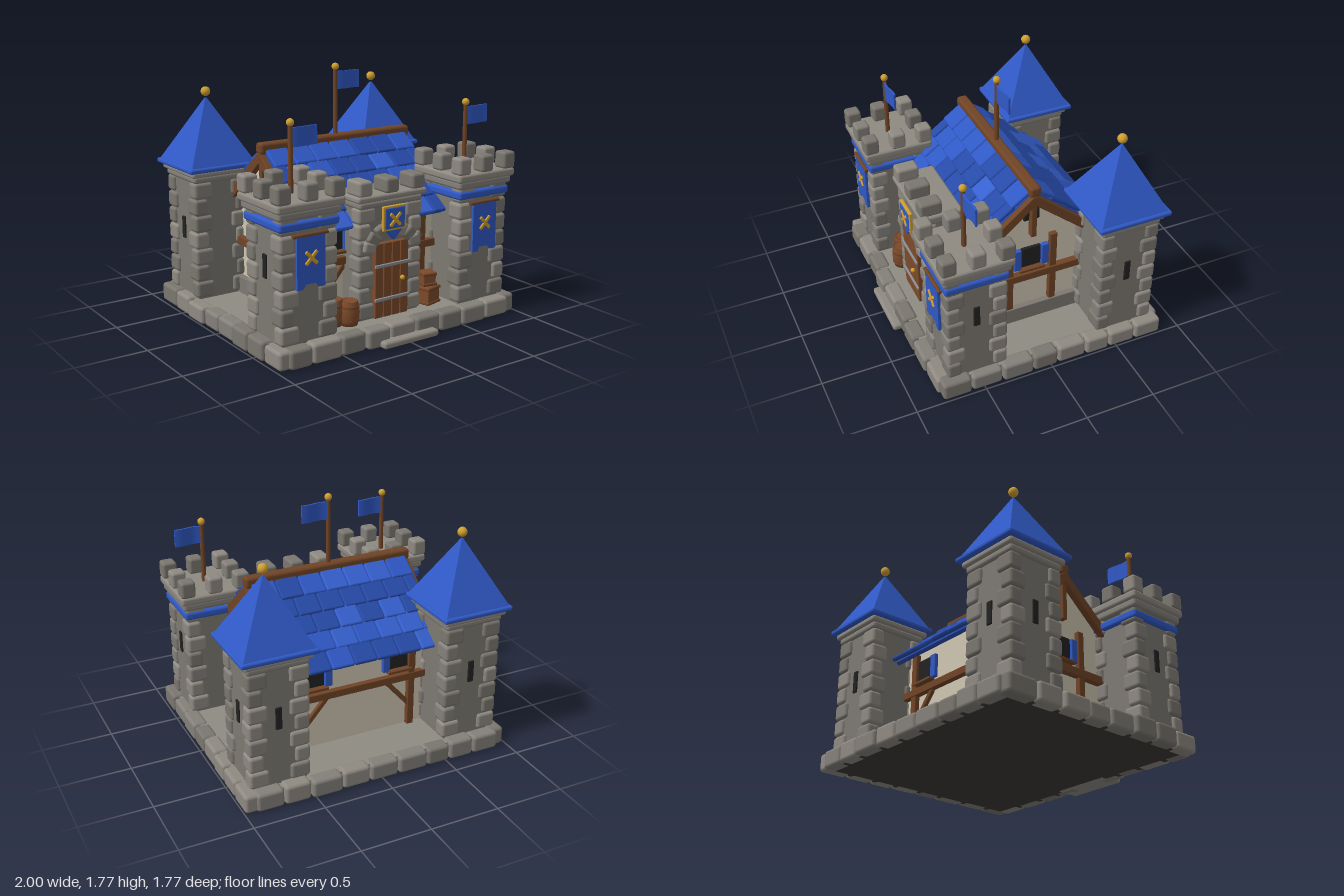
import * as THREE from 'three';
import { RoundedBoxGeometry } from 'three/addons/geometries/RoundedBoxGeometry.js';

const mat = (color) => new THREE.MeshStandardMaterial({ color });
const M = {
  stones: [0x8f8a82, 0x84807a, 0x7a766f].map(mat), wall: mat(0x7d7972), floor: mat(0x8f8b83),
  under: mat(0x3a3836), plaster: mat(0xcfc7b2), wood: mat(0x704426), plank: mat(0x7d4a2a),
  tiles: [0x3560cf, 0x2f58c4, 0x274aa8].map(mat), blue: mat(0x3059c6), gold: mat(0xd0a030),
  dark: mat(0x222222), iron: mat(0x8a8d92),
};

let seed = 7;
const rnd = () => (seed = (seed * 16807) % 2147483647) / 2147483647;
const pick = (list) => list[Math.floor(rnd() * list.length)];

function add(parent, name, geo, material, x, y, z) {
  const mesh = new THREE.Mesh(geo, material);
  mesh.name = name;
  mesh.position.set(x, y, z);
  parent.add(mesh);
  return mesh;
}
// Box with softened edges
function block(parent, name, material, w, h, d, x, y, z, r = 0.02) {
  const radius = Math.min(r, Math.min(w, h, d) * 0.4);
  return add(parent, name, new RoundedBoxGeometry(w, h, d, 2, radius), material, x, y, z);
}
const box = (p, name, m, w, h, d, x, y, z) => block(p, name, m, w, h, d, x, y, z, 0.006);

function group(parent, name, x = 0, y = 0, z = 0) {
  const g = new THREE.Group();
  g.name = name;
  g.position.set(x, y, z);
  parent.add(g);
  return g;
}

function goldCross(parent, x, y, z) {
  for (const s of [-1, 1]) box(parent, 'goldCross', M.gold, 0.12, 0.024, 0.014, x, y, z).rotation.z = s * Math.PI / 4;
}

// Pole with a gold ball and a gently waving flag
function flagpole(parent, x, y0, y1, z) {
  const g = group(parent, 'flagpole', x, 0, z);
  add(g, 'pole', new THREE.CylinderGeometry(0.015, 0.017, y1 - y0, 12), M.wood, 0, (y0 + y1) / 2, 0);
  add(g, 'poleBall', new THREE.SphereGeometry(0.026, 16, 12), M.gold, 0, y1 + 0.015, 0);
  const geo = new THREE.BoxGeometry(0.19, 0.125, 0.014, 10, 1, 1);
  const p = geo.attributes.position;
  for (let i = 0; i < p.count; i++) p.setZ(i, p.getZ(i) + 0.007 * Math.sin((p.getX(i) + 0.095) * 30));
  geo.computeVertexNormals();
  add(g, 'flag', geo, M.blue, 0.105, y1 - 0.08, 0);
}

// Alternating corner stones up one vertical edge; sx, sz point outward
function quoins(parent, x, z, sx, sz, y0, y1, rows) {
  const h = (y1 - y0) / rows;
  for (let i = 0; i < rows; i++) {
    const w = i % 2 ? 0.105 : 0.14, d = i % 2 ? 0.13 : 0.1;
    block(parent, 'cornerStone', pick(M.stones), w, h * 0.96, d, x - sx * w / 2, y0 + h * (i + 0.5), z - sz * d / 2, 0.022);
  }
}

function tower(parent, name, x, z, side) {
  const g = group(parent, name, x, 0, z);
  add(g, 'towerBody', new THREE.BoxGeometry(0.39, 0.88, 0.39), M.wall, 0, 0.54, 0);
  for (const sx of [-1, 1]) for (const sz of [-1, 1]) quoins(g, sx * 0.215, sz * 0.215, sx, sz, 0.13, 0.965, 7);
  box(g, 'arrowSlit', M.dark, 0.03, 0.16, 0.045, side * 0.19, 0.61, 0);
  return g;
}

function frontTower(parent, side) {
  const g = tower(parent, 'frontTower', side * 0.72, 0.53, side);
  block(g, 'blueBand', M.blue, 0.45, 0.06, 0.45, 0, 0.9, 0);
  block(g, 'lowerCornice', M.stones[1], 0.47, 0.06, 0.47, 0, 0.975, 0);
  block(g, 'upperCornice', M.stones[0], 0.505, 0.06, 0.505, 0, 1.025, 0);
  for (const i of [-1, 0, 1]) for (const j of [-1, 0, 1])
    if (i || j) block(g, 'merlon', pick(M.stones), 0.105, 0.12, 0.105, i * 0.2, 1.11, j * 0.2);
  flagpole(g, 0, 1.04, 1.49, 0);
  // Hanging banner with a notched hem
  const s = new THREE.Shape();
  [[-0.105, 0.83], [-0.105, 0.49], [-0.06, 0.49], [-0.04, 0.52], [0.04, 0.52], [0.06, 0.49], [0.105, 0.49], [0.105, 0.83]]
    .forEach(([a, b], i) => (i ? s.lineTo(a, b) : s.moveTo(a, b)));
  add(g, 'banner', new THREE.ExtrudeGeometry(s, { depth: 0.02, bevelEnabled: false }), M.blue, 0, 0, 0.212);
  const rod = add(g, 'bannerRod', new THREE.CylinderGeometry(0.013, 0.013, 0.26, 10), M.wood, 0, 0.838, 0.222);
  rod.rotation.z = Math.PI / 2;
  goldCross(g, 0, 0.69, 0.236);
}

function rearTower(parent, side) {
  const g = tower(parent, 'rearTower', side * 0.72, -0.58, side);
  box(g, 'arrowSlit', M.dark, 0.045, 0.16, 0.03, 0, 0.61, -0.19);
  block(g, 'lowerCornice', M.stones[1], 0.435, 0.05, 0.435, 0, 0.985, 0);
  block(g, 'upperCornice', M.stones[0], 0.475, 0.04, 0.475, 0, 1.025, 0);
  block(g, 'roofEave', M.blue, 0.535, 0.035, 0.535, 0, 1.06, 0, 0.014);
  const roof = new THREE.CylinderGeometry(0.008, 0.355, 0.45, 4, 1).toNonIndexed();
  roof.computeVertexNormals();
  add(g, 'pyramidRoof', roof, M.blue, 0, 1.295, 0).rotation.y = Math.PI / 4;
  add(g, 'roofBall', new THREE.SphereGeometry(0.034, 18, 14), M.gold, 0, 1.565, 0);
}

function shutteredWindow(parent, x, z) {
  const g = group(parent, 'window', x, 0.665, z);
  box(g, 'windowOpening', M.dark, 0.145, 0.16, 0.03, 0, 0, 0);
  for (const s of [-1, 1]) box(g, 'shutter', M.blue, 0.053, 0.17, 0.035, s * 0.103, -0.005, 0.01);
  box(g, 'windowSill', M.wood, 0.19, 0.022, 0.06, 0, -0.095, 0.015);
}

function house(parent) {
  const g = group(parent, 'house', 0, 0, -0.02);
  add(g, 'plasterWalls', new THREE.BoxGeometry(1.12, 0.7, 0.88), M.plaster, 0, 0.47, 0);
  const s = new THREE.Shape();
  s.moveTo(-0.44, 0.82); s.lineTo(0.44, 0.82); s.lineTo(0, 1.19); s.closePath();
  add(g, 'gable', new THREE.ExtrudeGeometry(s, { depth: 1.12, bevelEnabled: false }), M.plaster, -0.56, 0, 0).rotation.y = Math.PI / 2;
  box(g, 'foundation', M.wall, 1.2, 0.13, 0.8, 0, 0.175, 0);

  for (const turn of [0, 1]) {
    // Long walls, front and back
    const long = group(g, 'longWall');
    long.rotation.y = turn * Math.PI;
    box(long, 'wallBeam', M.wood, 1.1, 0.055, 0.05, 0, 0.51, 0.455);
    for (const m of [-1, 1]) {
      shutteredWindow(long, m * 0.325, 0.44);
      box(long, 'wallPost', M.wood, 0.052, 0.68, 0.05, m * 0.42, 0.46, 0.45);
      box(long, 'wallBrace', M.wood, 0.035, 0.3, 0.04, m * 0.33, 0.375, 0.445).rotation.z = m * 0.72;
    }
    // Gable ends
    const end = group(g, 'gableEnd');
    end.rotation.y = (turn - 0.5) * Math.PI;
    box(end, 'endBeam', M.wood, 0.84, 0.06, 0.06, 0, 0.51, 0.575);
    for (const m of [-1, 1]) box(end, 'endPost', M.wood, 0.052, 0.58, 0.05, m * 0.163, 0.53, 0.57);
    shutteredWindow(end, 0, 0.565);
    box(end, 'atticWindow', M.dark, 0.115, 0.115, 0.03, 0, 1.035, 0.56);
    box(end, 'kingPost', M.wood, 0.04, 0.36, 0.05, 0, 1.04, 0.59);

    // Roof slope with staggered tiles, local z running down the slope
    const roof = group(g, 'roofSlope', 0, 1.2, 0);
    roof.rotation.set(0.7, turn * Math.PI, 0, 'YXZ');
    box(roof, 'roofBoard', M.tiles[2], 1.18, 0.03, 0.71, 0, 0.005, 0.355);
    for (const m of [-1, 1]) box(roof, 'rafter', M.wood, 0.05, 0.065, 0.72, m * 0.605, -0.02, 0.36);
    const w = 1.19 / 7;
    for (let row = 0; row < 5; row++) {
      const cuts = [-0.595];
      for (let i = 1; i <= 7; i++) cuts.push(-0.595 + w * (i - (row % 2 ? 0.5 : 0)));
      if (row % 2) cuts.push(0.595);
      for (let i = 0; i + 1 < cuts.length; i++) {
        const tw = cuts[i + 1] - cuts[i];
        const t = block(roof, 'roofTile', pick(M.tiles), tw * 0.97, 0.032, 0.165, (cuts[i] + cuts[i + 1]) / 2,
          0.036 + rnd() * 0.006, 0.085 + row * 0.141, 0.013);
        t.rotation.x = -0.08;
      }
    }
  }
  block(g, 'ridgeBeam', M.wood, 1.26, 0.08, 0.08, 0, 1.235, 0, 0.022);
  flagpole(g, 0, 1.25, 1.73, 0);
}

function gatehouse(parent) {
  const g = group(parent, 'gatehouse');
  add(g, 'gateBody', new THREE.BoxGeometry(0.49, 0.8, 0.24), M.wall, 0, 0.52, 0.495);
  for (const m of [-1, 1]) quoins(g, m * 0.265, 0.635, m, 1, 0.125, 0.9, 7);
  block(g, 'lowerCornice', M.stones[1], 0.52, 0.05, 0.285, 0, 0.915, 0.5);
  block(g, 'upperCornice', M.stones[0], 0.57, 0.045, 0.31, 0, 0.96, 0.505);
  for (const i of [-1, 0, 1]) block(g, 'merlon', pick(M.stones), 0.108, 0.105, 0.16, i * 0.218, 1.03, 0.575);
  // Plank door with iron bands
  for (let i = 0; i < 4; i++) box(g, 'doorPlank', M.plank, 0.067, 0.52, 0.04, (i - 1.5) * 0.07, 0.385, 0.63);
  for (const y of [0.255, 0.49]) box(g, 'doorBand', M.iron, 0.29, 0.024, 0.016, 0, y, 0.654);
  add(g, 'doorKnob', new THREE.SphereGeometry(0.017, 12, 10), M.gold, 0.078, 0.385, 0.665);
  // Arch stones
  for (let i = 0; i < 7; i++) {
    const a = Math.PI * (0.06 + 0.88 * i / 6);
    block(g, 'archStone', pick(M.stones), 0.1, 0.077, 0.06, Math.cos(a) * 0.185, 0.605 + Math.sin(a) * 0.125, 0.63).rotation.z = a;
  }
  // Shield
  box(g, 'shieldTip', M.blue, 0.11, 0.11, 0.024, 0, 0.738, 0.66).rotation.z = Math.PI / 4;
  box(g, 'shieldFrame', M.gold, 0.19, 0.17, 0.024, 0, 0.815, 0.663);
  box(g, 'shieldField', M.blue, 0.162, 0.142, 0.024, 0, 0.815, 0.668);
  goldCross(g, 0, 0.805, 0.682);
  block(g, 'doorStep', M.stones[0], 0.46, 0.05, 0.2, 0, 0.025, 0.785);
}

// Row of uneven stones along one side of the base
function baseRow(parent, length, n, x, z, turn) {
  const g = group(parent, 'baseStones', x, 0, z);
  g.rotation.y = turn;
  const widths = Array.from({ length: n }, () => 0.85 + rnd() * 0.3);
  const k = length / widths.reduce((a, b) => a + b);
  let at = -length / 2;
  for (const w of widths) {
    const h = 0.12 + rnd() * 0.018;
    block(g, 'baseStone', pick(M.stones), w * k * 0.97, h, 0.11, at + w * k / 2, h / 2, rnd() * 0.02 - 0.01, 0.024);
    at += w * k;
  }
}

function barrel(parent, x, z, r, h) {
  const g = group(parent, 'barrel', x, 0.12, z);
  const pts = [[0, 0], [0.82, 0], [0.95, 0.25], [1, 0.5], [0.95, 0.75], [0.82, 1], [0.74, 1], [0.74, 0.95], [0, 0.95]];
  add(g, 'barrelBody', new THREE.LatheGeometry(pts.map(([a, b]) => new THREE.Vector2(a * r, b * h)), 18), M.plank, 0, 0, 0);
  for (const t of [0.22, 0.78]) add(g, 'barrelHoop', new THREE.CylinderGeometry(r * 0.98, r * 0.98, 0.016, 18), M.wood, 0, h * t, 0);
}

function crate(parent, size, h, x, y, z, turn) {
  const g = group(parent, 'crate', x, y + h / 2, z);
  g.rotation.y = turn;
  box(g, 'crateBody', M.plank, size, h, size, 0, 0, 0);
  for (const s of [-1, 1]) box(g, 'crateTrim', M.wood, size + 0.014, 0.02, size + 0.014, 0, s * (h / 2 - 0.014), 0);
}

export function createModel() {
  const root = new THREE.Group();
  root.name = 'castle';
  add(root, 'baseFloor', new THREE.BoxGeometry(1.88, 0.105, 1.62), M.floor, 0, 0.0675, -0.025);
  add(root, 'baseUnderside', new THREE.BoxGeometry(1.86, 0.02, 1.6), M.under, 0, 0.012, -0.025);
  baseRow(root, 1.84, 9, 0, 0.77, 0);
  baseRow(root, 1.84, 9, 0, -0.82, Math.PI);
  for (const s of [-1, 1]) {
    baseRow(root, 1.66, 8, s * 0.935, -0.025, s * Math.PI / 2);
    frontTower(root, s);
    rearTower(root, s);
  }
  house(root);
  gatehouse(root);
  barrel(root, -0.42, 0.56, 0.075, 0.18);
  barrel(root, -0.325, 0.61, 0.072, 0.165);
  crate(root, 0.13, 0.13, 0.37, 0.12, 0.57, 0.25);
  crate(root, 0.095, 0.1, 0.37, 0.25, 0.57, -0.2);
  return root;
}
